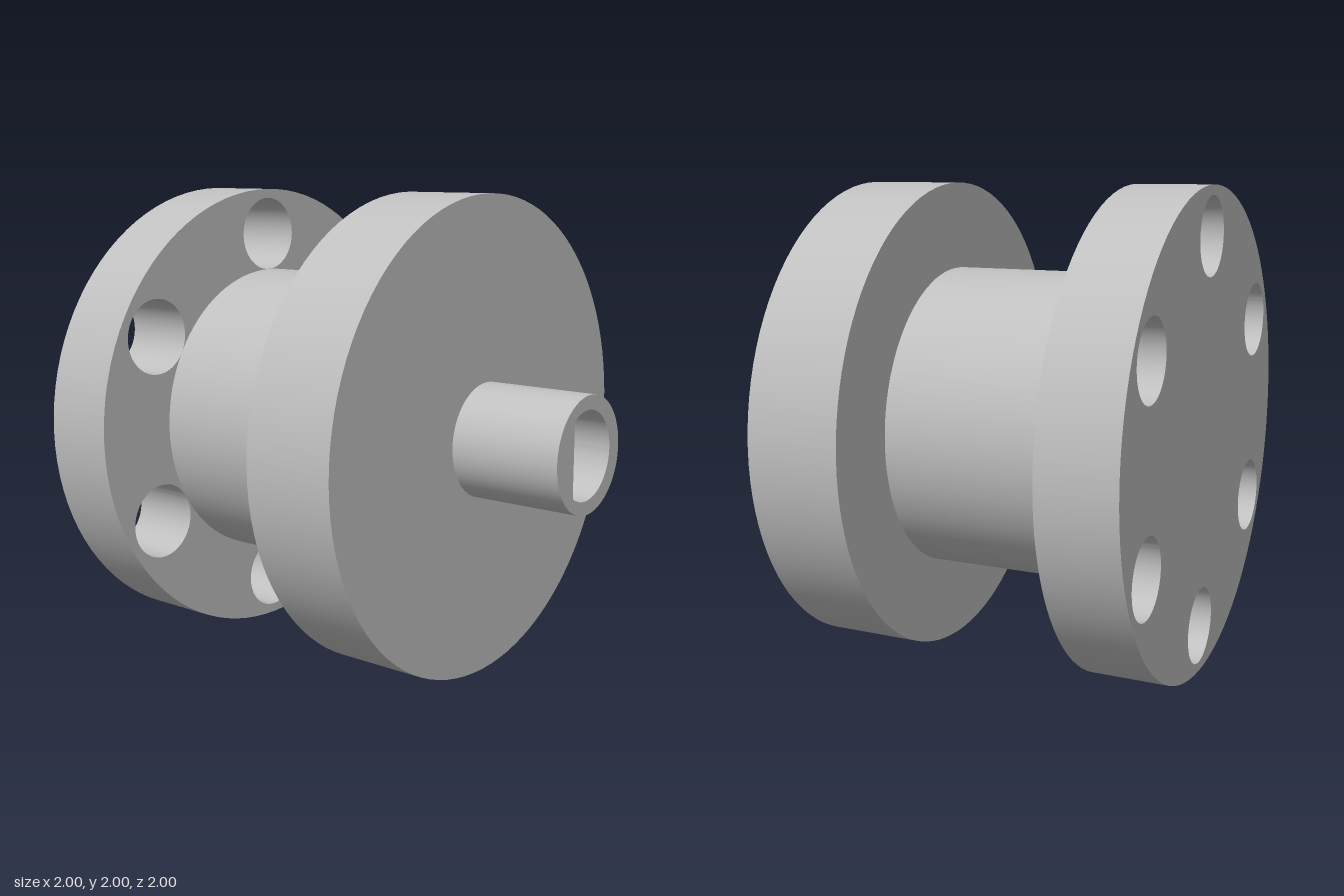
import * as THREE from 'three';
import { toCreasedNormals } from 'three/addons/utils/BufferGeometryUtils.js';

const AXIS_Y = 1;

export function createModel() {
  const group = new THREE.Group();
  group.name = 'flangedCoupling';
  const grey = new THREE.MeshStandardMaterial({ color: 0xbfbfbf });
  grey.name = 'plain grey';

  // A round section along z, optionally pierced by holes
  function addDisc(name, radius, zBack, zFront, holes = []) {
    const shape = new THREE.Shape();
    shape.absarc(0, 0, radius, 0, Math.PI * 2, false);
    shape.holes.push(...holes);
    const geometry = new THREE.ExtrudeGeometry(shape, {
      depth: zFront - zBack, bevelEnabled: false, curveSegments: 48,
    });
    const mesh = new THREE.Mesh(toCreasedNormals(geometry, 0.5), grey);
    mesh.name = name;
    mesh.position.set(0, AXIS_Y, zBack);
    group.add(mesh);
  }

  // Six bolt holes around the rear flange
  const boltHoles = [];
  for (let i = 0; i < 6; i++) {
    const a = Math.PI / 6 + i * Math.PI / 3;
    const hole = new THREE.Path();
    hole.absarc(0.8 * Math.cos(a), 0.8 * Math.sin(a), 0.16, 0, Math.PI * 2, true);
    boltHoles.push(hole);
  }

  // D-shaped bore: an arc closed by a flat on the -x side
  const boreX = -0.016, boreRadius = 0.182, flatX = -0.115;
  const flatAngle = Math.acos((flatX - boreX) / boreRadius);
  const bore = new THREE.Path();
  bore.absarc(boreX, 0, boreRadius, flatAngle, -flatAngle, true);
  bore.closePath();

  addDisc('rearFlange', 1, -1, -0.68, boltHoles);
  addDisc('barrel', 0.64, -0.68, 0.12);
  addDisc('frontFlange', 1, 0.12, 0.52);
  addDisc('hollowShaft', 0.24, 0.52, 1, [bore]);

  return group;
}
